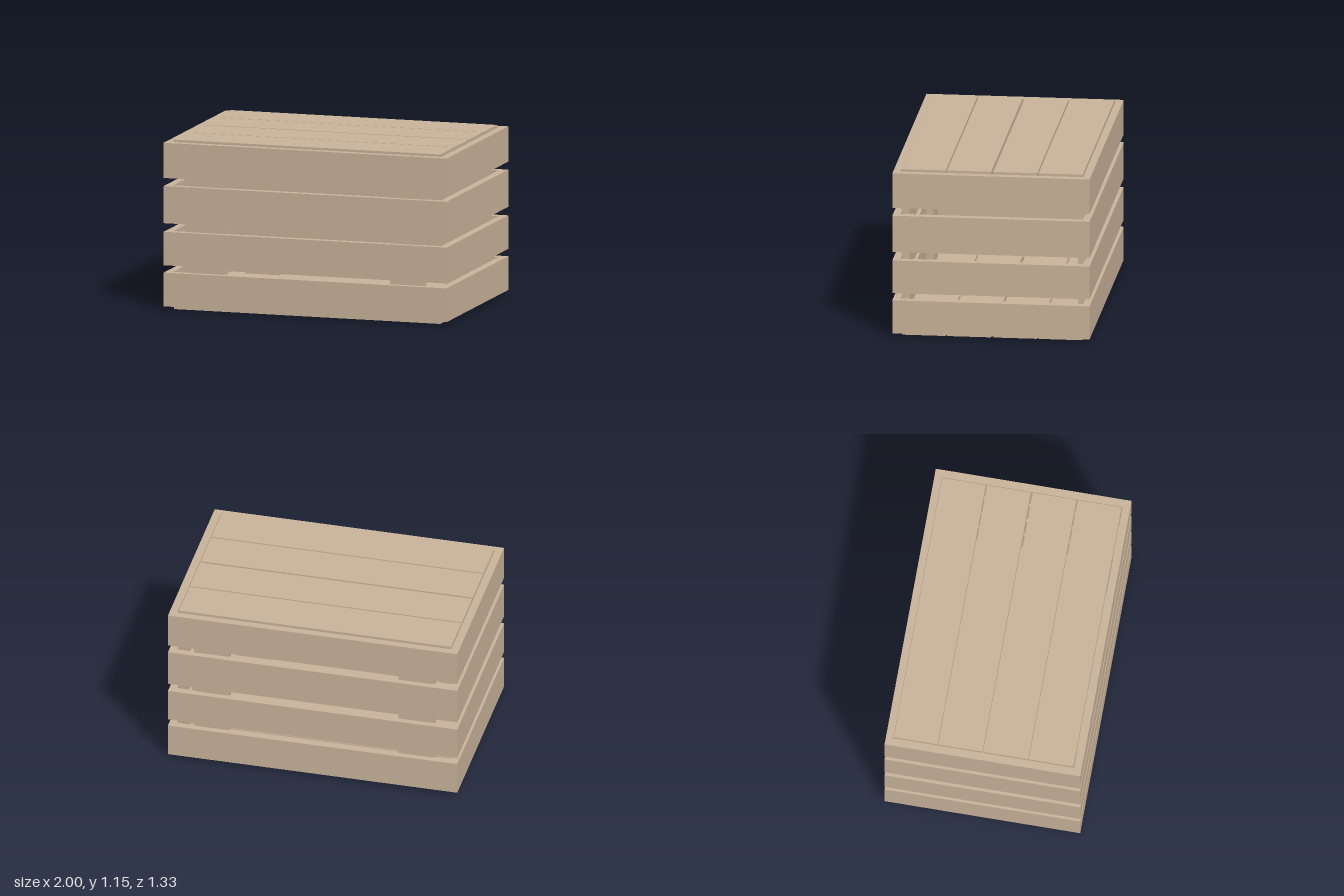
import * as THREE from 'three';

export function createModel() {
  const crate = new THREE.Group();
  crate.name = 'crate';
  const wood = new THREE.MeshStandardMaterial({ color: 0xcbb59b });
  wood.name = 'pale wood';

  // Box given by its min and max along each axis
  function box(name, [x0, x1], [y0, y1], [z0, z1]) {
    const mesh = new THREE.Mesh(new THREE.BoxGeometry(x1 - x0, y1 - y0, z1 - z0), wood);
    mesh.position.set((x0 + x1) / 2, (y0 + y1) / 2, (z0 + z1) / 2);
    mesh.name = name;
    crate.add(mesh);
  }

  // Rectangular outline, clockwise or not does not matter to the extruder
  function rectangle(path, hx, hz) {
    path.moveTo(-hx, -hz);
    path.lineTo(hx, -hz);
    path.lineTo(hx, hz);
    path.lineTo(-hx, hz);
    path.closePath();
    return path;
  }

  // Four hollow bands of boards around the sides
  const bands = [[0.025, 0.255], [0.305, 0.533], [0.592, 0.845], [0.9, 1.14]];
  bands.forEach(([y0, y1], i) => {
    const outline = rectangle(new THREE.Shape(), 1, 0.667);
    outline.holes.push(rectangle(new THREE.Path(), 0.947, 0.617));
    const geometry = new THREE.ExtrudeGeometry(outline, { depth: y1 - y0, bevelEnabled: false });
    geometry.rotateX(-Math.PI / 2);
    const band = new THREE.Mesh(geometry, wood);
    band.position.y = y0;
    band.name = `sideBand${i + 1}`;
    crate.add(band);
  });

  // Lid and floor planks
  const planks = [[-0.613, -0.315], [-0.305, -0.009], [0.006, 0.303], [0.313, 0.61]];
  planks.forEach((z, i) => {
    box(`lidPlank${i + 1}`, [-0.944, 0.937], [1.1, 1.155], z);
    box(`floorPlank${i + 1}`, [-0.944, 0.937], [0, 0.055], z);
  });

  // Upright battens inside the front and back
  for (const [end, z] of [['front', [0.57, 0.628]], ['back', [-0.626, -0.568]]]) {
    box(`${end}LeftBatten`, [0.587, 0.825], [0.055, 1.1], z);
    box(`${end}RightBatten`, [-0.828, -0.585], [0.055, 1.1], z);
  }

  return crate;
}
